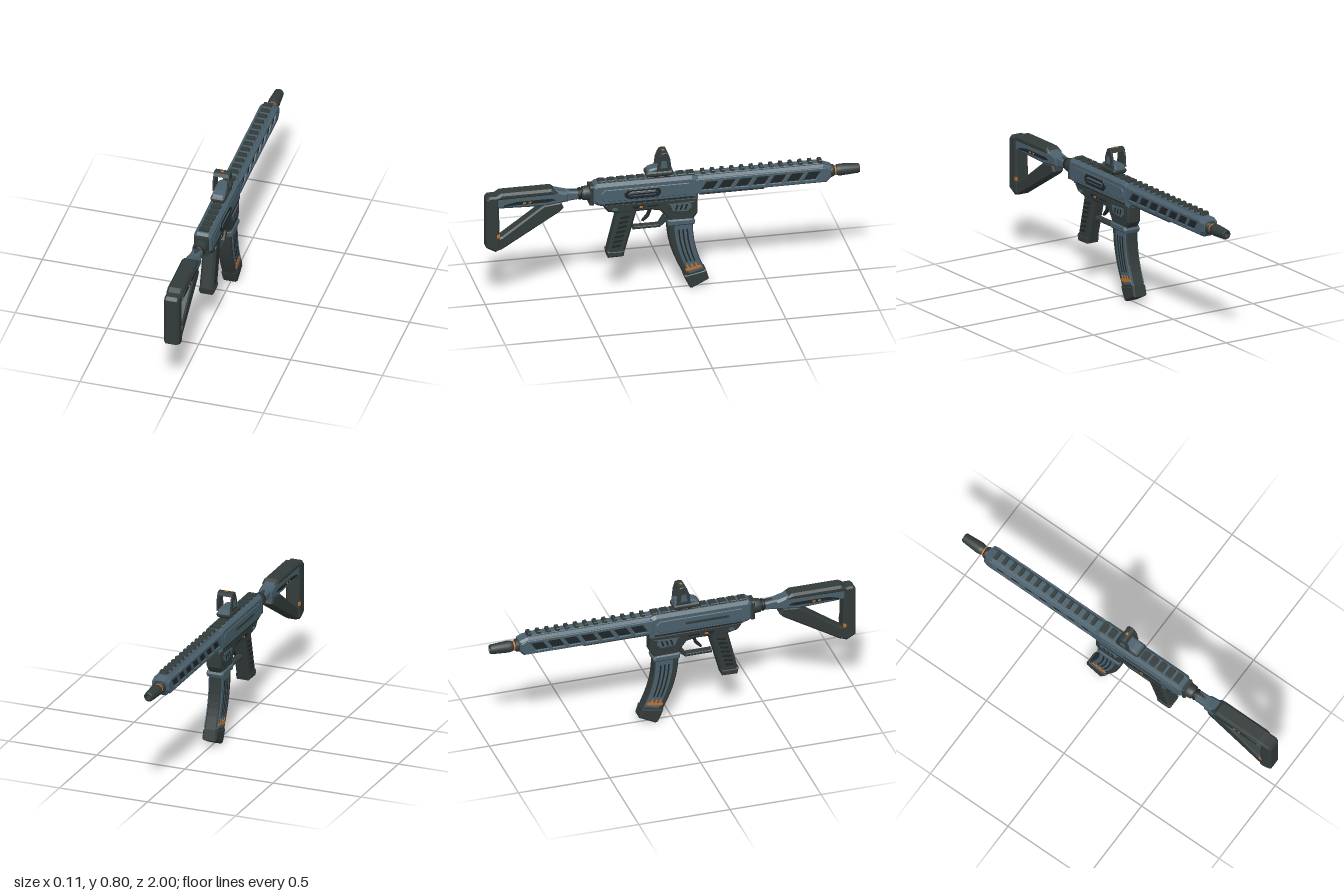
import * as THREE from 'three';

const material = (name, color) => new THREE.MeshStandardMaterial({ name, color });

export function createModel() {
  const steel = material('steel blue', 0x4a606c);
  const dark = material('dark grey', 0x333b3b);
  const black = material('near black', 0x1f2527);
  const orange = material('orange', 0xc8712a);

  const model = new THREE.Group();
  model.name = 'rifle';
  const body = new THREE.Group();
  body.name = 'body';
  body.position.x = -0.004;
  model.add(body);

  const add = (name, geo, mat) => {
    const mesh = new THREE.Mesh(geo, mat);
    mesh.name = name;
    body.add(mesh);
    return mesh;
  };
  const toVecs = pts => pts.map(p => new THREE.Vector2(p[0], p[1]));

  // side profile given as [z, y] points, extruded across x with chamfered edges
  const slab = (name, pts, width, mat, bevel = 0.008, x = 0, holes = []) => {
    const shape = new THREE.Shape(toVecs(pts));
    holes.forEach(h => shape.holes.push(new THREE.Path(toVecs(h))));
    const geo = new THREE.ExtrudeGeometry(shape, {
      depth: width - 2 * bevel, bevelEnabled: bevel > 0, bevelThickness: bevel,
      bevelSize: bevel, bevelOffset: -bevel, bevelSegments: 1, curveSegments: 6,
    });
    geo.translate(0, 0, -(width - 2 * bevel) / 2);
    geo.rotateY(-Math.PI / 2);
    geo.translate(x, 0, 0);
    return add(name, geo, mat);
  };
  // the same thin plate on both flanks, standing out to |x| = outer
  const plates = (name, pts, outer, mat, thick = 0.006, bevel = 0, holes = []) => {
    for (const s of [1, -1]) slab(name, pts, thick, mat, bevel, s * (outer - thick / 2), holes);
  };
  const rect = (z0, z1, y0, y1) => [[z0, y0], [z1, y0], [z1, y1], [z0, y1]];
  const hexagon = (z0, z1, y0, y1, c) => [[z0, y0 + c], [z0 + c, y0], [z1 - c, y0], [z1, y0 + c],
    [z1, y1 - c], [z1 - c, y1], [z0 + c, y1], [z0, y1 - c]];
  // round part along z from [radius, z] points
  const turned = (name, pts, y, mat) => {
    const geo = new THREE.LatheGeometry(toVecs(pts), 20);
    geo.rotateX(Math.PI / 2);
    geo.translate(0, y, 0);
    return add(name, geo, mat);
  };
  const drum = (name, r0, r1, z0, z1, y, mat) => {
    const c = Math.min(0.006, (z1 - z0) / 4);
    return turned(name, [[0, z0], [r0 - c, z0], [r0, z0 + c], [r1, z1 - c], [r1 - c, z1], [0, z1]], y, mat);
  };

  // shoulder stock
  slab('buttPad', [[0.985, 0.632], [1, 0.615], [1, 0.34], [0.95, 0.312], [0.925, 0.325], [0.935, 0.632]], 0.08, dark, 0.01);
  slab('stockStrut', [[0.95, 0.312], [0.94, 0.385], [0.915, 0.395], [0.69, 0.555], [0.6, 0.565], [0.585, 0.53], [0.605, 0.51], [0.915, 0.322]], 0.066, dark);
  slab('stockBody', [[0.945, 0.63], [0.945, 0.56], [0.68, 0.55], [0.56, 0.565], [0.56, 0.615], [0.63, 0.635]], 0.074, steel, 0.012);
  slab('stockNose', [[0.62, 0.625], [0.62, 0.56], [0.5, 0.57], [0.5, 0.612]], 0.056, steel, 0.008);
  slab('cheekRest', [[0.95, 0.608], [0.95, 0.63], [0.92, 0.648], [0.65, 0.648], [0.61, 0.62], [0.64, 0.612]], 0.086, dark, 0.012);
  plates('stockSlot', [[0.91, 0.572], [0.9, 0.582], [0.84, 0.594], [0.65, 0.594], [0.63, 0.584], [0.67, 0.576], [0.84, 0.576]], 0.039, black, 0.004);
  for (const z of [0.76, 0.79]) plates('stockMarker', rect(z, z + 0.015, 0.581, 0.589), 0.041, orange, 0.004);
  plates('buttMarker', rect(0.928, 0.945, 0.395, 0.415), 0.041, orange, 0.008);

  // buffer tube and collars
  drum('bufferTube', 0.028, 0.026, 0.42, 0.57, 0.592, dark);
  drum('collarLarge', 0.04, 0.037, 0.435, 0.485, 0.592, dark);
  drum('collarSmall', 0.034, 0.03, 0.488, 0.51, 0.592, black);

  // receiver
  slab('receiver', [[0.41, 0.652], [0.43, 0.635], [0.43, 0.545], [0.41, 0.53], [0.36, 0.515], [-0.13, 0.515], [-0.13, 0.64], [-0.1, 0.652]], 0.096, steel, 0.016);
  slab('receiverEndPlate', rect(0.425, 0.447, 0.53, 0.64), 0.08, dark, 0.008);
  plates('receiverPanel', hexagon(-0.1, 0.39, 0.55, 0.618, 0.02), 0.051, steel, 0.006, 0.003);
  plates('receiverGroove', rect(-0.11, 0.37, 0.532, 0.539), 0.0488, black, 0.003);

  // ejection port and bolt handle on the left flank, inset strip on the right
  slab('portFrame', hexagon(0.07, 0.265, 0.557, 0.612, 0.018), 0.01, black, 0.003, 0.05);
  slab('portCover', hexagon(0.09, 0.245, 0.572, 0.6, 0.012), 0.008, steel, 0.003, 0.054);
  slab('boltHandle', hexagon(0.09, 0.24, 0.58, 0.592, 0.005), 0.008, black, 0.002, 0.0555);
  slab('rightFlankStrip', hexagon(0.06, 0.3, 0.578, 0.592, 0.005), 0.004, dark, 0, -0.05);

  // lower receiver with magazine well
  slab('lowerReceiver', [[0.38, 0.53], [0.37, 0.51], [0.35, 0.485], [0.29, 0.472], [0.12, 0.475], [0.07, 0.465], [0.035, 0.42], [0.03, 0.385], [-0.095, 0.385], [-0.13, 0.435], [-0.13, 0.53]], 0.082, dark, 0.01);
  plates('wellPanel', [[0.03, 0.5], [0.015, 0.455], [-0.01, 0.44], [-0.085, 0.44], [-0.11, 0.46], [-0.11, 0.505]], 0.044, dark, 0.006, 0.002);
  plates('wellBadge', [[0.02, 0.5], [0.005, 0.46], [-0.07, 0.455], [-0.095, 0.475], [-0.09, 0.505]], 0.046, steel, 0.004);
  for (let i = 0; i < 3; i++) {
    const z = -0.005 - i * 0.025;
    plates('wellVent', [[z, 0.465], [z - 0.01, 0.465], [z - 0.02, 0.495], [z - 0.01, 0.495]], 0.0475, black, 0.003);
  }
  plates('selectorLever', hexagon(0.16, 0.22, 0.494, 0.51, 0.005), 0.046, black, 0.008);
  plates('selectorMarker', rect(0.165, 0.185, 0.498, 0.507), 0.048, orange, 0.004);
  plates('takedownPin', hexagon(0.3, 0.33, 0.492, 0.508, 0.005), 0.044, steel, 0.006);
  plates('lowerSlot', rect(0.08, 0.14, 0.497, 0.505), 0.043, black, 0.004);

  // grip
  slab('grip', [[0.295, 0.49], [0.19, 0.49], [0.2, 0.46], [0.262, 0.235], [0.27, 0.222], [0.345, 0.22], [0.355, 0.245]], 0.074, dark, 0.012);
  slab('gripCap', [[0.357, 0.255], [0.262, 0.255], [0.266, 0.22], [0.35, 0.218]], 0.08, dark, 0.008);
  for (let i = 0; i < 7; i++) {
    const y = 0.275 + i * 0.027, z = 0.331 - i * 0.0075;
    plates('gripRib', [[z, y], [z - 0.048, y + 0.006], [z - 0.05, y + 0.018], [z - 0.003, y + 0.012]], 0.0395, black, 0.005);
  }

  // trigger and guard
  slab('triggerGuard', [[0.215, 0.382], [0.215, 0.362], [0.07, 0.362], [0.03, 0.395], [0.03, 0.425], [0.045, 0.425], [0.075, 0.378], [0.205, 0.378]], 0.04, dark, 0.003);
  slab('trigger', [[0.125, 0.48], [0.135, 0.44], [0.165, 0.402], [0.155, 0.398], [0.125, 0.425], [0.105, 0.48]], 0.02, black, 0.003);

  // curved magazine: u runs from rear edge to forward edge, v from top to bottom
  const curve = pts => new THREE.SplineCurve(toVecs(pts));
  const rear = curve([[0.03, 0.4], [0.02, 0.29], [-0.012, 0.175], [-0.066, 0.06]]);
  const fore = curve([[-0.103, 0.4], [-0.11, 0.29], [-0.133, 0.19], [-0.174, 0.09]]);
  const strip = (u0, u1, v0, v1) => {
    const at = (u, v) => rear.getPoint(v).lerp(fore.getPoint(v), u);
    const a = [], b = [];
    for (let i = 0; i <= 8; i++) {
      const v = v0 + (v1 - v0) * i / 8, p = at(u0, v), q = at(u1, v);
      a.push([p.x, p.y]);
      b.unshift([q.x, q.y]);
    }
    return [...a, ...b];
  };
  slab('magazine', strip(0, 1, 0, 1), 0.072, dark, 0.008);
  plates('magazinePanel', strip(0.24, 0.96, 0.1, 0.92), 0.039, steel, 0.006, 0.002);
  for (const u of [0.38, 0.55, 0.72]) plates('magazineGroove', strip(u, u + 0.06, 0.18, 0.74), 0.0405, black, 0.003);
  plates('magazineStripe', strip(0.18, 0.92, 0.83, 0.87), 0.041, orange, 0.004);
  for (const u of [0.3, 0.5, 0.7]) plates('magazineTick', strip(u, u + 0.08, 0.78, 0.83), 0.041, orange, 0.004);
  slab('magazineFoot', [[-0.056, 0.075], [-0.067, 0.045], [-0.088, 0.003], [-0.1, 0], [-0.19, 0.045], [-0.174, 0.1]], 0.08, dark, 0.008);
  slab('magazineCollar', [[0.035, 0.4], [0.03, 0.372], [-0.11, 0.372], [-0.115, 0.39], [-0.1, 0.408], [0.03, 0.41]], 0.096, steel, 0.008);

  // handguard: core, dark backing, and flanks with slanted openings
  slab('handguardCore', [[-0.12, 0.642], [-0.8, 0.642], [-0.845, 0.625], [-0.85, 0.57], [-0.82, 0.538], [-0.12, 0.538]], 0.078, steel, 0.014);
  plates('handguardBacking', rect(-0.13, -0.81, 0.56, 0.618), 0.0395, black, 0.003);
  const openings = [];
  for (let i = 0; i < 7; i++) {
    const z = -0.145 - i * 0.091;
    openings.push([[z, 0.568], [z - 0.066, 0.568], [z - 0.096, 0.612], [z - 0.03, 0.612]]);
  }
  plates('handguardFlank', [[-0.115, 0.63], [-0.81, 0.63], [-0.84, 0.615], [-0.84, 0.575], [-0.815, 0.55], [-0.115, 0.55]], 0.048, steel, 0.012, 0.003, openings);
  plates('handguardMarker', rect(-0.66, -0.695, 0.621, 0.629), 0.0475, orange, 0.004);
  slab('lowerRail', rect(-0.14, -0.49, 0.53, 0.542), 0.05, dark, 0.003);

  // top rail with teeth
  slab('railBase', rect(0.41, -0.78, 0.636, 0.65), 0.05, steel, 0.003);
  for (let i = 0; i < 13; i++) {
    const z = -0.15 - i * 0.052;
    slab('railTooth', [[z, 0.645], [z - 0.026, 0.645], [z - 0.022, 0.664], [z - 0.004, 0.664]], 0.046, dark, 0.003);
  }
  for (let i = 0; i < 10; i++) {
    const z = 0.4 - i * 0.053;
    slab('rearRailTooth', rect(z, z - 0.038, 0.645, 0.661), 0.054, dark, 0.004);
  }

  // barrel and muzzle
  drum('barrelCollar', 0.032, 0.036, -0.865, -0.84, 0.59, dark);
  drum('muzzleRing', 0.027, 0.027, -0.875, -0.863, 0.59, orange);
  turned('muzzle', [[0, -0.96], [0.014, -0.96], [0.014, -1], [0.022, -1], [0.026, -0.994], [0.032, -0.9], [0.029, -0.88], [0.024, -0.872], [0, -0.872]], 0.59, dark);

  // reflex sight
  slab('sightNeck', rect(0.13, 0.01, 0.65, 0.672), 0.05, black, 0.004);
  slab('sightBase', hexagon(0, 0.147, 0.664, 0.692, 0.008), 0.08, dark, 0.008);
  slab('sightHousing', [[0.142, 0.688], [0.13, 0.704], [0.1, 0.712], [0.01, 0.712], [0.002, 0.688]], 0.068, steel, 0.008);
  const post = [[0.092, 0.695], [0.084, 0.755], [0.066, 0.795], [0.05, 0.8], [0.03, 0.796], [0.018, 0.76], [0.012, 0.695]];
  plates('sightPost', post, 0.044, dark, 0.01, 0.003);
  slab('sightTop', [[0.076, 0.778], [0.066, 0.795], [0.05, 0.8], [0.03, 0.796], [0.024, 0.778]], 0.084, dark, 0.003);
  plates('sightPostInset', [[0.072, 0.715], [0.066, 0.755], [0.04, 0.755], [0.034, 0.715]], 0.046, steel, 0.004);
  slab('sightMarker', rect(0.055, 0.043, 0.797, 0.801), 0.016, orange, 0);

  return model;
}
